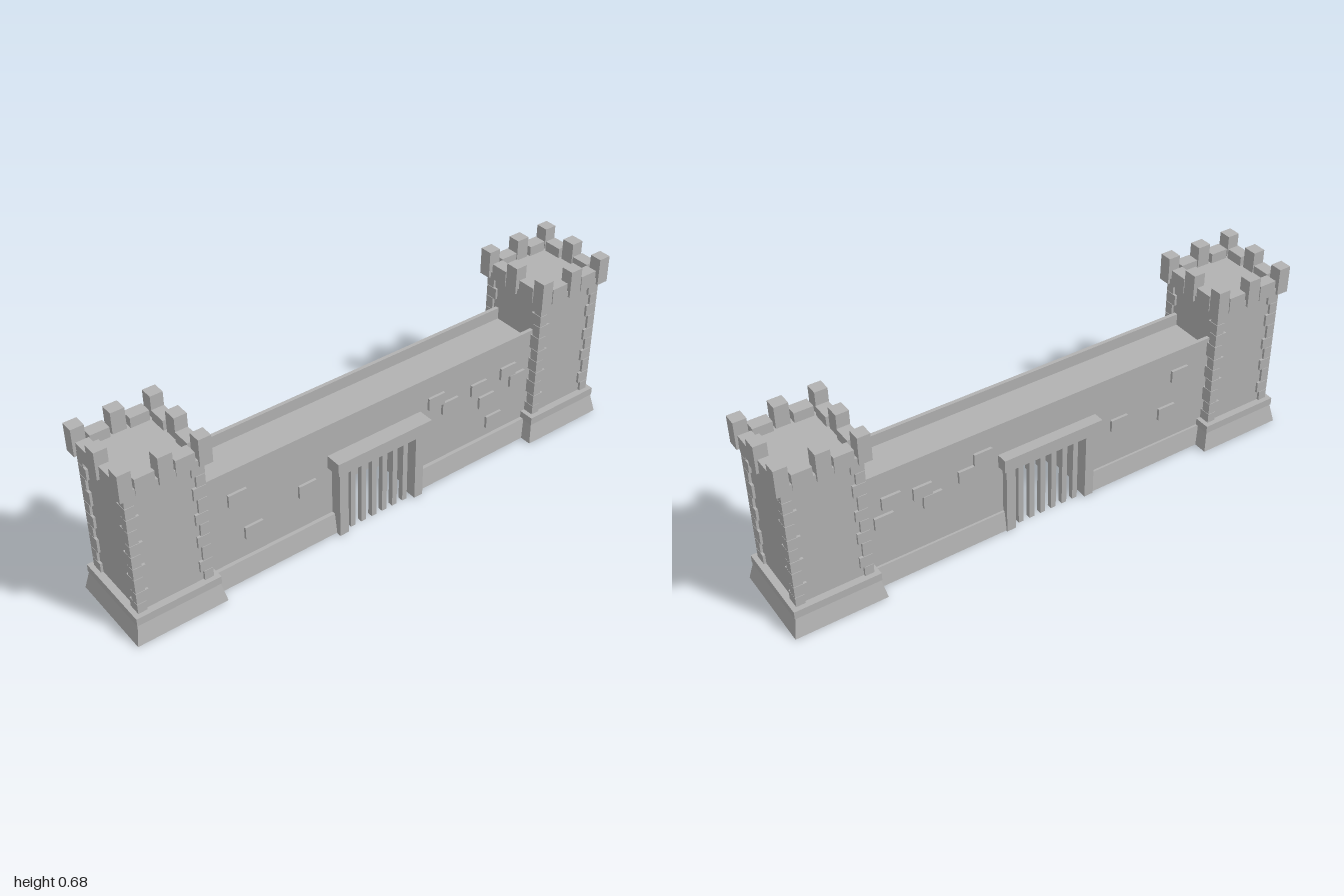
import * as THREE from 'three';

const stone = new THREE.MeshStandardMaterial({ color: 0xb2b2b2 });
stone.name = 'stone grey';

function mesh(parent, name, geo) {
  const m = new THREE.Mesh(geo, stone);
  m.name = name;
  parent.add(m);
  return m;
}

// Box given by its limits on each axis
function box(parent, name, x0, x1, y0, y1, z0, z1) {
  const geo = new THREE.BoxGeometry(x1 - x0, y1 - y0, z1 - z0);
  geo.translate((x0 + x1) / 2, (y0 + y1) / 2, (z0 + z1) / 2);
  return mesh(parent, name, geo);
}

// Box whose top is drawn in by dx and dz on every side
function sloped(parent, name, x0, x1, y0, y1, z0, z1, dx, dz) {
  const m = box(parent, name, x0, x1, y0, y1, z0, z1);
  const p = m.geometry.attributes.position;
  const cx = (x0 + x1) / 2, cz = (z0 + z1) / 2;
  for (let i = 0; i < p.count; i++) {
    if (p.getY(i) < (y0 + y1) / 2) continue;
    p.setX(i, p.getX(i) - Math.sign(p.getX(i) - cx) * dx);
    p.setZ(i, p.getZ(i) - Math.sign(p.getZ(i) - cz) * dz);
  }
  m.geometry.computeVertexNormals();
  return m;
}

function makeTower() {
  const g = new THREE.Group();
  g.name = 'tower';
  sloped(g, 'towerFoot', -0.168, 0.168, 0.003, 0.076, -0.168, 0.168, 0.015, 0.015);
  box(g, 'towerPlinth', -0.156, 0.156, 0.076, 0.106, -0.156, 0.156);
  box(g, 'towerBody', -0.13, 0.13, 0.1, 0.59, -0.13, 0.13);
  box(g, 'towerRoof', -0.15, 0.15, 0.579, 0.6, -0.15, 0.15);

  // Corner stones, long and short in turn
  const courses = [0.106, 0.145, 0.19, 0.247, 0.292, 0.34, 0.384, 0.44, 0.488, 0.532, 0.578];
  const o = 0.139;
  for (let i = 0; i < courses.length - 1; i++) {
    const long = 0.046, short = 0.033;
    const w = i % 2 ? long : short, d = i % 2 ? short : long;
    for (const sx of [-1, 1]) for (const sz of [-1, 1]) {
      const xs = [sx * o, sx * (o - w)].sort((a, b) => a - b);
      const zs = [sz * o, sz * (o - d)].sort((a, b) => a - b);
      box(g, 'cornerStone', xs[0], xs[1], courses[i] + 0.001, courses[i + 1] - 0.001, zs[0], zs[1]);
    }
  }

  // Battlements: tall blocks at corners and middles, low blocks between
  const y0 = 0.578, e = 0.159, t = 0.046;
  for (const sx of [-1, 1]) for (const sz of [-1, 1]) {
    const cx = sx * (e - t / 2), cz = sz * (e - t / 2);
    box(g, 'cornerMerlon', cx - t / 2, cx + t / 2, y0, 0.68, cz - t / 2, cz + t / 2);
  }
  for (let side = 0; side < 4; side++) {
    const row = new THREE.Group();
    row.name = 'battlementRow';
    row.rotation.y = side * Math.PI / 2;
    box(row, 'middleMerlon', -0.025, 0.025, y0, 0.68, e - t, e);
    for (const s of [-1, 1]) {
      box(row, 'lowBlock', s * 0.069 - 0.034, s * 0.069 + 0.034, y0, 0.637, e - t - 0.006, e - 0.006);
    }
    g.add(row);
  }
  return g;
}

function makeWall() {
  const g = new THREE.Group();
  g.name = 'wall';
  const zb = -0.092, zf = 0.102;

  // Wall body with the gateway cut through
  const s = new THREE.Shape();
  [[-0.71, 0.003], [-0.17, 0.003], [-0.17, 0.3], [0.15, 0.3], [0.15, 0.003], [0.71, 0.003], [0.71, 0.41], [-0.71, 0.41]]
    .forEach(([x, y], i) => (i ? s.lineTo(x, y) : s.moveTo(x, y)));
  const geo = new THREE.ExtrudeGeometry(s, { depth: zf - zb, bevelEnabled: false });
  geo.translate(0, 0, zb);
  mesh(g, 'wallBody', geo);

  // Parapets beside the walkway
  box(g, 'frontParapet', -0.71, 0.71, 0.41, 0.455, zf - 0.014, zf);
  box(g, 'backParapet', -0.71, 0.71, 0.41, 0.455, zb, zb + 0.014);

  // Sloping foot on each side of the gateway
  sloped(g, 'wallFoot', -0.69, -0.17, 0.003, 0.08, -0.112, 0.128, 0, 0.012);
  sloped(g, 'wallFoot', 0.15, 0.69, 0.003, 0.08, -0.112, 0.128, 0, 0.012);

  // Raised bricks, centre x and y
  const front = [[-0.565, 0.342], [-0.51, 0.18], [-0.295, 0.24], [0.255, 0.347], [0.318, 0.3], [0.45, 0.315],
    [0.49, 0.245], [0.588, 0.328], [0.634, 0.278], [0.53, 0.142]];
  const back = [[0.595, 0.335], [0.625, 0.265], [0.48, 0.32], [0.445, 0.27], [0.31, 0.31], [0.25, 0.355],
    [-0.31, 0.25], [-0.57, 0.355], [-0.52, 0.21]];
  for (const [list, z] of [[front, zf], [back, zb]]) {
    for (const [x, y] of list) box(g, 'raisedBrick', x - 0.035, x + 0.035, y - 0.024, y + 0.024, z - 0.01, z + 0.01);
  }
  return g;
}

// Gate face: posts, lintel and bars, standing out towards +z
function makeGate() {
  const g = new THREE.Group();
  g.name = 'gate';
  for (const x of [-0.173, 0.153]) box(g, 'gatePost', x - 0.018, x + 0.018, 0, 0.285, 0.083, 0.131);
  box(g, 'gateLintel', -0.208, 0.188, 0.28, 0.33, 0.07, 0.148);
  for (let i = 0; i < 6; i++) {
    const x = -0.124 + i * 0.0452;
    box(g, 'gateBar', x - 0.01, x + 0.01, 0, 0.29, 0.096, 0.116);
  }
  return g;
}

export function createModel() {
  const model = new THREE.Group();
  model.name = 'castleWall';
  for (const side of [-1, 1]) {
    const tower = makeTower();
    tower.name = side > 0 ? 'leftTower' : 'rightTower';
    tower.position.set(side * 0.832, 0, 0.004);
    model.add(tower);
  }
  model.add(makeWall());

  // Front and back gates share the same x positions
  const frontGate = makeGate();
  frontGate.name = 'frontGate';
  frontGate.position.z = 0.015;
  model.add(frontGate);
  const backGate = makeGate();
  backGate.name = 'backGate';
  backGate.rotation.y = Math.PI;
  backGate.position.set(-0.02, 0, 0.015);
  model.add(backGate);
  return model;
}
